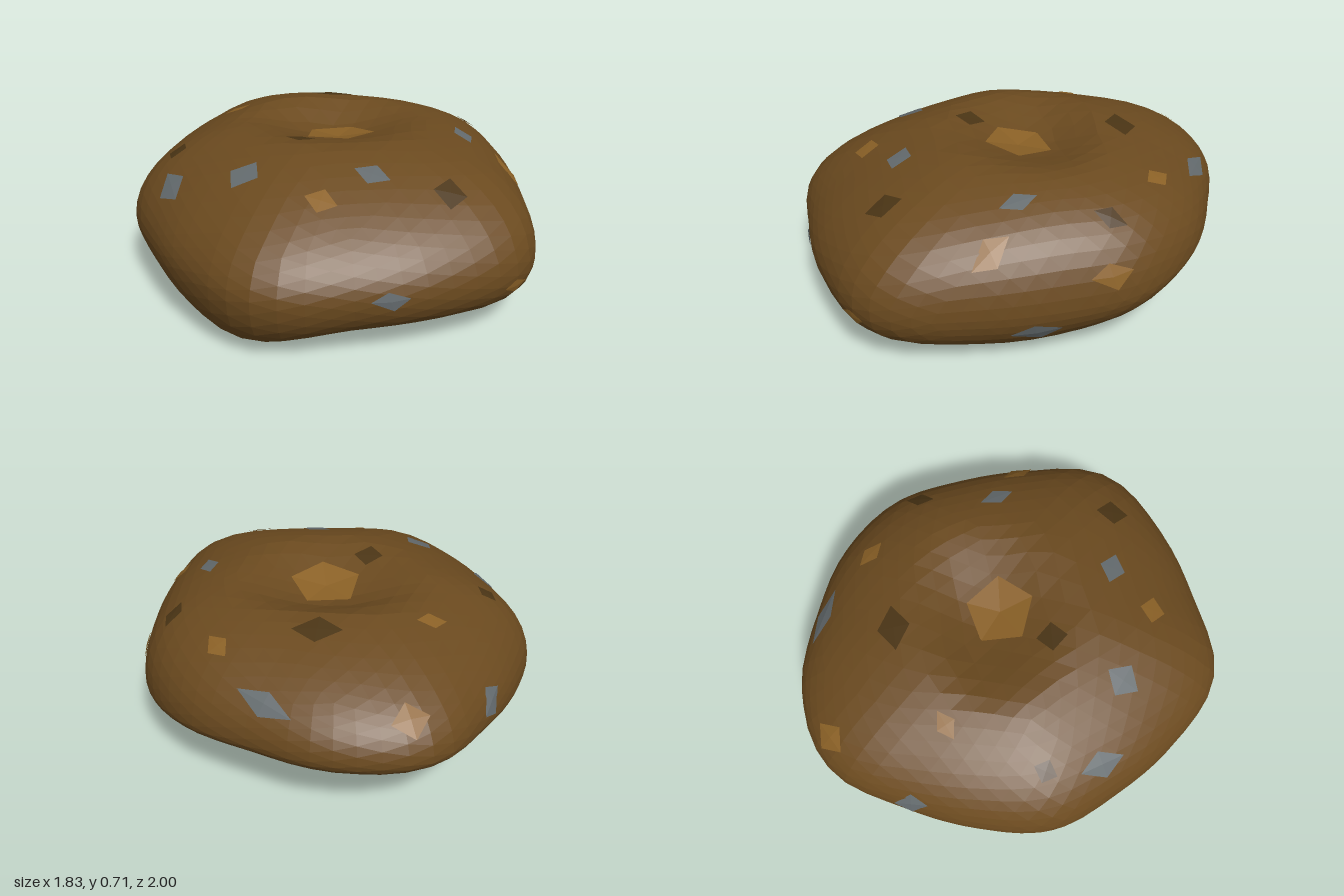
import * as THREE from 'three';

// Plan radius every 22.5 degrees, from +x towards +z
const RADII = [0.915, 0.965, 1.09, 1.03, 0.997, 1.045, 0.95, 0.9, 0.92, 0.893, 0.92, 1.02, 0.99, 0.925, 0.935, 0.945];

function planRadius(x, z) {
  const n = RADII.length;
  const u = ((Math.atan2(z, x) / (2 * Math.PI) + 1) % 1) * n;
  const i = Math.floor(u), t = u - i;
  const [a, b, c, d] = [-1, 0, 1, 2].map((k) => RADII[(i + k + n) % n]);
  return b + 0.5 * t * (c - a + t * (2 * a - 5 * b + 4 * c - d + t * (3 * (b - c) + d - a)));
}

const bump = (x, z, cx, cz, sx, sz) => Math.exp(-(((x - cx) / sx) ** 2 + ((z - cz) / sz) ** 2) / 2);

// Maps a direction on the unit sphere to the surface of the rock
function surfacePoint(dir) {
  const rho = Math.min(1, Math.hypot(dir.x, dir.z));
  const R = planRadius(dir.x, dir.z);
  const x = dir.x * R, z = dir.z * R;
  const rim = 0.285 + 0.095 * (rho > 0 ? Math.max(0, -dir.z / rho) ** 2 : 0) * rho;
  let y;
  if (dir.y >= 0) {
    // Domed top, fuller on the left and sloping at the front and right
    const power = 2.3 + 1.75 * Math.max(0, dir.x) ** 2 - 0.2 * Math.max(0, -dir.x) - 0.75 * Math.max(0, dir.z);
    // Hollow, steep at the back and shallow at the front
    const q2 = Math.min(1, ((x - 0.04) / 0.5) ** 2 + ((z + 0.1) / (z < -0.1 ? 0.32 : 0.5)) ** 2);
    y = rim + (0.733 - rim) * Math.sqrt(1 - rho ** power) - 0.125 * (1 - q2) ** 2;
  } else {
    // Underside, full at the front and rising to the back, resting on two lumps
    const power = 2.6 + 5 * THREE.MathUtils.smoothstep(dir.z, -0.7, 0.8);
    const floor = 0.065 + 0.095 * THREE.MathUtils.smoothstep(-z, 0.3, 0.8)
      - 0.1 * bump(x, z, -0.52, 0.72, 0.27, 0.27) - 0.09 * bump(x, z, 0.67, 0, 0.22, 0.38);
    y = rim - (rim - floor) * Math.sqrt(1 - rho ** power);
  }
  return new THREE.Vector3(x, y, z);
}

// Direction whose surface point lies on the top at (x, z)
function topDirection(x, z) {
  const R = planRadius(x, z);
  const rho = Math.min(0.999, Math.hypot(x, z) / R);
  const k = rho / (Math.hypot(x, z) || 1);
  return new THREE.Vector3(x * k, Math.sqrt(1 - rho * rho), z * k);
}

function facetMaterial(color) {
  return new THREE.MeshStandardMaterial({ color, flatShading: true });
}

// Flat fleck: a fan of corners laid just above the surface
function makePatch(centre, corners, material, name) {
  const n = new THREE.Vector3().subVectors(corners[1], corners[0])
    .cross(new THREE.Vector3().subVectors(corners[2], corners[0])).normalize();
  if (n.dot(centre.clone().sub(new THREE.Vector3(0, 0.3, 0))) < 0) {
    corners.reverse();
    n.negate();
  }
  const points = [];
  corners.forEach((c, i) => points.push(centre, c, corners[(i + 1) % corners.length]));
  const geo = new THREE.BufferGeometry().setFromPoints(points.map((p) => p.clone().addScaledVector(n, 0.005)));
  geo.computeVertexNormals();
  const mesh = new THREE.Mesh(geo, material);
  mesh.name = name;
  return mesh;
}

export function createModel() {
  const group = new THREE.Group();
  group.name = 'rock';

  // Body
  const geo = new THREE.IcosahedronGeometry(1, 10);
  const pos = geo.attributes.position;
  const v = new THREE.Vector3();
  for (let i = 0; i < pos.count; i++) {
    const p = surfacePoint(v.fromBufferAttribute(pos, i).normalize());
    pos.setXYZ(i, p.x, p.y, p.z);
  }
  geo.computeVertexNormals();
  const body = new THREE.Mesh(geo, facetMaterial(0x6b4a1f));
  body.name = 'body';
  group.add(body);

  const ochre = facetMaterial(0x8b6126), slate = facetMaterial(0x646b6e), umber = facetMaterial(0x4b3515);

  // Flecks on the top: x, z, half length, half width, turn
  const topFlecks = [
    [ochre, 'ochreFleck', [
      [-0.3, -0.88, 0.085, 0.06, -0.4], [0.5, -0.52, 0.045, 0.075, -0.6], [-0.41, -0.365, 0.07, 0.045, -0.3],
      [-0.1, 0.69, 0.07, 0.06, 0.4], [0.8, 0.28, 0.05, 0.09, -0.4]]],
    [slate, 'slateFleck', [
      [0.28, -0.8, 0.14, 0.04, 0.6], [-0.66, -0.6, 0.035, 0.08, 0.4], [-0.72, 0.27, 0.055, 0.11, -0.2],
      [-0.4, 0.45, 0.08, 0.08, 0.78], [0.13, 0.56, 0.08, 0.06, 0.5], [0.63, 0.13, 0.045, 0.085, -0.2]]],
    [umber, 'umberFleck', [
      [0.08, -0.49, 0.11, 0.075, 0.1], [0.74, -0.23, 0.045, 0.07, 0.4], [-0.7, 0.01, 0.05, 0.055, 0.6],
      [-0.14, 0.19, 0.07, 0.07, 0.2], [0.44, 0.66, 0.07, 0.08, 0.2]]],
  ];
  const topPatch = (x, z, a, b, turn, sides, material, name) => {
    const corners = [];
    for (let i = 0; i < sides; i++) {
      const t = (i / sides) * Math.PI * 2;
      const u = a * Math.cos(t), w = b * Math.sin(t);
      corners.push(surfacePoint(topDirection(
        x + u * Math.cos(turn) - w * Math.sin(turn), z + u * Math.sin(turn) + w * Math.cos(turn))));
    }
    group.add(makePatch(surfacePoint(topDirection(x, z)), corners, material, name));
  };
  for (const [material, name, list] of topFlecks) {
    for (const [x, z, a, b, turn] of list) topPatch(x, z, a, b, turn, 4, material, name);
  }

  // Large five-sided fleck in the hollow
  topPatch(0.06, 0, 0.17, 0.16, 0.2, 5, ochre, 'hollowFleck');

  // Flecks around the sides: direction, half length, half height
  const sideFlecks = [
    [slate, 'slateFleck', 0.14, 0.02, 0.99, 0.08, 0.1], [slate, 'slateFleck', 0.96, -0.22, 0.12, 0.12, 0.12],
    [ochre, 'ochreFleck', 0.97, 0.2, -0.22, 0.1, 0.1], [ochre, 'ochreFleck', 0.64, -0.1, 0.77, 0.06, 0.08],
  ];
  for (const [material, name, x, y, z, a, h] of sideFlecks) {
    const d = new THREE.Vector3(x, y, z).normalize();
    const along = new THREE.Vector3(-d.z, 0, d.x).normalize();
    const up = new THREE.Vector3().crossVectors(along, d).normalize();
    const corners = [[1, 0.1], [0.1, 1], [-1, 0.2], [-0.2, -1]].map(([s, t]) => surfacePoint(
      d.clone().addScaledVector(along, s * a).addScaledVector(up, t * h).normalize()));
    group.add(makePatch(surfacePoint(d), corners, material, name));
  }

  // Rest on the ground
  geo.computeBoundingBox();
  for (const mesh of group.children) mesh.position.y = -geo.boundingBox.min.y;
  return group;
}
